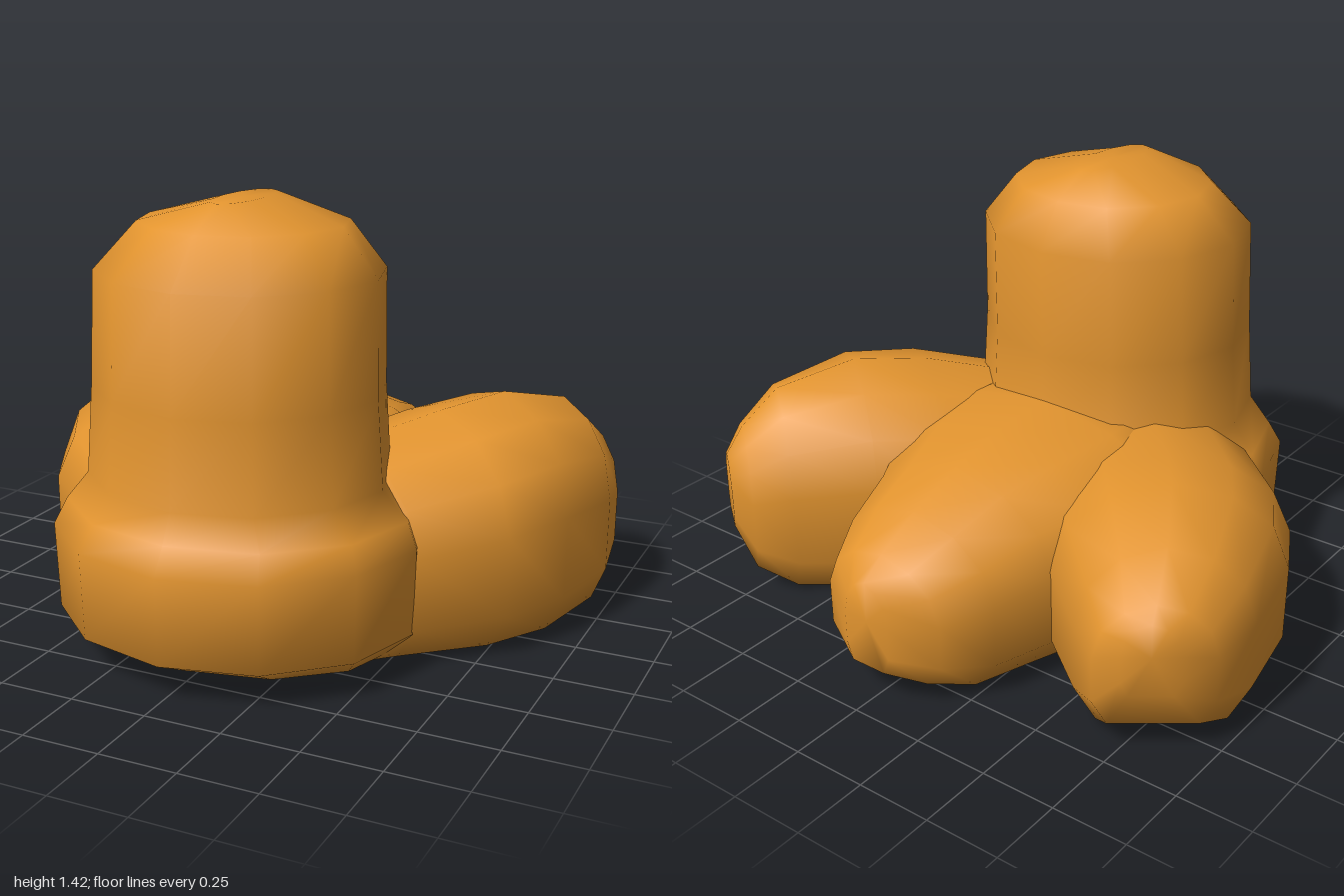
import * as THREE from 'three';

// Closed smooth skin over a list of equal-length rings, turned outward by its signed volume.
function loft(rings) {
  const n = rings[0].length;
  const pts = rings.flat();
  const idx = [];
  for (let r = 0; r < rings.length - 1; r++) {
    for (let i = 0; i < n; i++) {
      const a = r * n + i, b = r * n + (i + 1) % n;
      idx.push(a, b, b + n, a, b + n, a + n);
    }
  }
  const cap = (start, flip) => {
    const c = new THREE.Vector3();
    for (let i = 0; i < n; i++) c.addScaledVector(pts[start + i], 1 / n);
    const k = pts.push(c) - 1;
    for (let i = 0; i < n; i++) {
      const a = start + i, b = start + (i + 1) % n;
      if (flip) idx.push(k, b, a); else idx.push(k, a, b);
    }
  };
  cap(0, true);
  cap((rings.length - 1) * n, false);

  let volume = 0;
  const cross = new THREE.Vector3();
  for (let i = 0; i < idx.length; i += 3) {
    volume += pts[idx[i]].dot(cross.crossVectors(pts[idx[i + 1]], pts[idx[i + 2]]));
  }
  if (volume < 0) idx.reverse();
  const g = new THREE.BufferGeometry().setFromPoints(pts);
  g.setIndex(idx);
  g.computeVertexNormals();
  return g;
}

// Cross-section of a lobe: flat underneath with a bevel, upright sides, rounded crest (across, up).
const half = [[0.5, 0.93], [0.85, 0.78], [1, 0.56], [0.99, 0.19], [0.74, 0]];
const section = [[0, 1], ...half, ...half.map(([u, v]) => [-u, v]).reverse()];

// Stations: distance along, near edge, far edge, bottom, top.
function lobe(dir, side, stations) {
  return loft(stations.map(([s, t0, t1, y0, y1]) => section.map(([u, v]) => {
    const t = (t0 + t1) / 2 + u * (t1 - t0) / 2;
    return new THREE.Vector3(
      dir[0] * s + side[0] * t, y0 + v * (y1 - y0), dir[1] * s + side[1] * t);
  })));
}

export function createModel() {
  const model = new THREE.Group();
  const orange = new THREE.MeshStandardMaterial({ color: 0xe2942f });
  const add = (name, geometry) => {
    const mesh = new THREE.Mesh(geometry, orange);
    mesh.name = name;
    model.add(mesh);
  };

  // Upright column with a swollen foot: height, front z, back z, half width
  const column = [
    [0.01, 0.64, -0.1, 0.44],
    [0.03, 0.74, -0.1, 0.51],
    [0.12, 0.92, -0.15, 0.59],
    [0.4, 0.93, -0.15, 0.6],
    [0.48, 0.875, -0.12, 0.565],
    [0.57, 0.83, -0.06, 0.485],
    [0.85, 0.815, -0.05, 0.465],
    [1.21, 0.8, -0.06, 0.455],
    [1.355, 0.66, 0.03, 0.33],
    [1.425, 0.52, 0.16, 0.07],
  ];
  const sides = 12;
  add('column', loft(column.map(([y, front, back, w]) =>
    Array.from({ length: sides }, (_, i) => {
      const a = i / sides * Math.PI * 2;
      return new THREE.Vector3(
        Math.sin(a) * w, y, (front + back) / 2 + Math.cos(a) * (front - back) / 2);
    }))));

  // Two spreading side lobes with undercut tips, the left one slightly taller
  for (const [name, m, h] of [['leftLobe', 1, 0.74], ['rightLobe', -1, 0.68]]) {
    add(name, lobe([0.6 * m, -0.8], [0.8 * m, 0.6], [
      [-0.25, 0, 0.67, 0.02, 0.58],
      [0.05, -0.05, 0.71, 0.01, 0.64],
      [0.35, -0.04, 0.77, 0.005, h - 0.03],
      [0.6, -0.01, 0.73, 0, h],
      [0.87, 0.06, 0.6, 0.02, h - 0.06],
      [1.0, 0.11, 0.48, 0.1, h - 0.17],
      [1.06, 0.19, 0.37, 0.24, 0.48],
    ]));
  }

  // Middle lobe reaching straight back, broad where it fills the gaps between the others
  add('backLobe', lobe([0, -1], [1, 0], [
    [-0.3, -0.5, 0.5, 0.02, 0.69],
    [0.05, -0.56, 0.56, 0.01, 0.69],
    [0.3, -0.48, 0.48, 0.01, 0.67],
    [0.5, -0.375, 0.37, 0.005, 0.63],
    [0.7, -0.31, 0.31, 0.02, 0.56],
    [0.85, -0.22, 0.23, 0.08, 0.48],
    [0.93, -0.08, 0.09, 0.12, 0.42],
  ]));

  return model;
}
